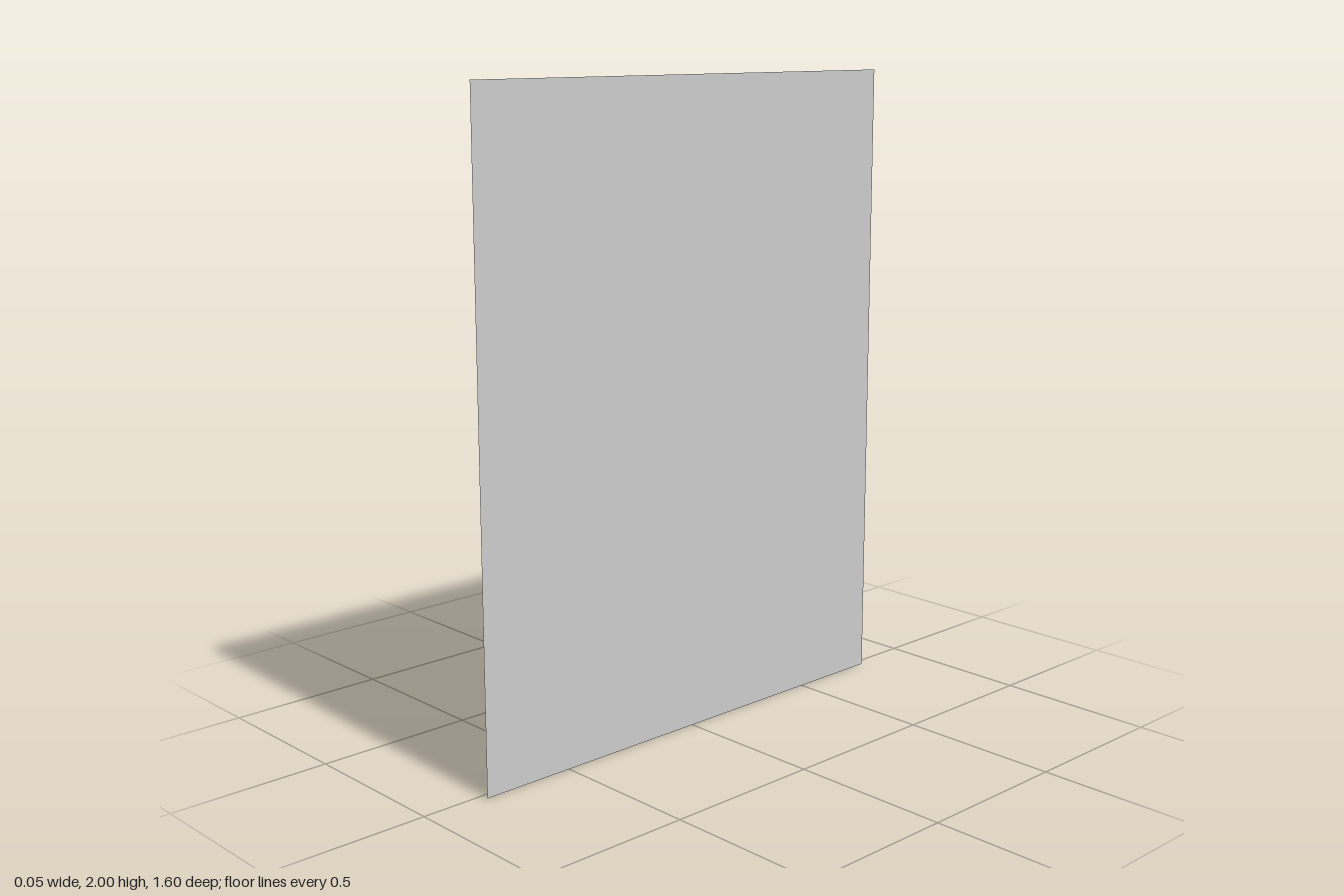
import * as THREE from 'three';

const DEPTH = 0.05;   // how far the moulding stands out
const BAND = 0.05;    // width of the moulding
const STEPS = 8;      // facets per quarter arc

// Points of an arc around (cx, cy), from angle a to angle b
function arc(cx, cy, r, a, b, steps) {
  return Array.from({ length: steps + 1 }, (_, i) => {
    const t = a + (b - a) * i / steps;
    return new THREE.Vector2(cx + r * Math.cos(t), cy + r * Math.sin(t));
  });
}

// Stepped-arch outline, moved inwards by "inset"
function archPoints(inset) {
  const half = 0.4 - inset, r = 0.2 - inset, base = 0.4 + inset;
  const points = [
    new THREE.Vector2(-half, base),
    new THREE.Vector2(half, base),
    ...arc(0.2, 1.4, r, 0, Math.PI / 2, STEPS),
  ];
  // square inner corner where shoulder and crown meet
  if (inset > 0) points.push(new THREE.Vector2(r, 1.6 - inset));
  const crown = arc(0, 1.6, r, 0, Math.PI, STEPS * 2);
  points.push(...(inset > 0 ? crown : crown.slice(1, -1)));
  if (inset > 0) points.push(new THREE.Vector2(-r, 1.6 - inset));
  points.push(...arc(-0.2, 1.4, r, Math.PI / 2, Math.PI, STEPS));
  return points;
}

export function createModel() {
  const group = new THREE.Group();
  group.name = 'archedWallPanel';

  // Flat wall sheet
  const wall = new THREE.Mesh(
    new THREE.PlaneGeometry(1.6, 2).rotateY(Math.PI / 2),
    new THREE.MeshStandardMaterial({ color: 0xcccccc, side: THREE.DoubleSide })
  );
  wall.name = 'wall';
  wall.position.set(DEPTH / 2, 1, 0);
  group.add(wall);

  // Raised arch moulding on the -x face of the wall
  const shape = new THREE.Shape(archPoints(0));
  shape.holes.push(new THREE.Path(archPoints(BAND)));
  const frame = new THREE.Mesh(
    new THREE.ExtrudeGeometry(shape, { depth: DEPTH, bevelEnabled: false }).rotateY(-Math.PI / 2),
    new THREE.MeshStandardMaterial({ color: 0xcccccc, flatShading: true })
  );
  frame.name = 'archFrame';
  frame.position.x = DEPTH / 2;
  group.add(frame);

  return group;
}
